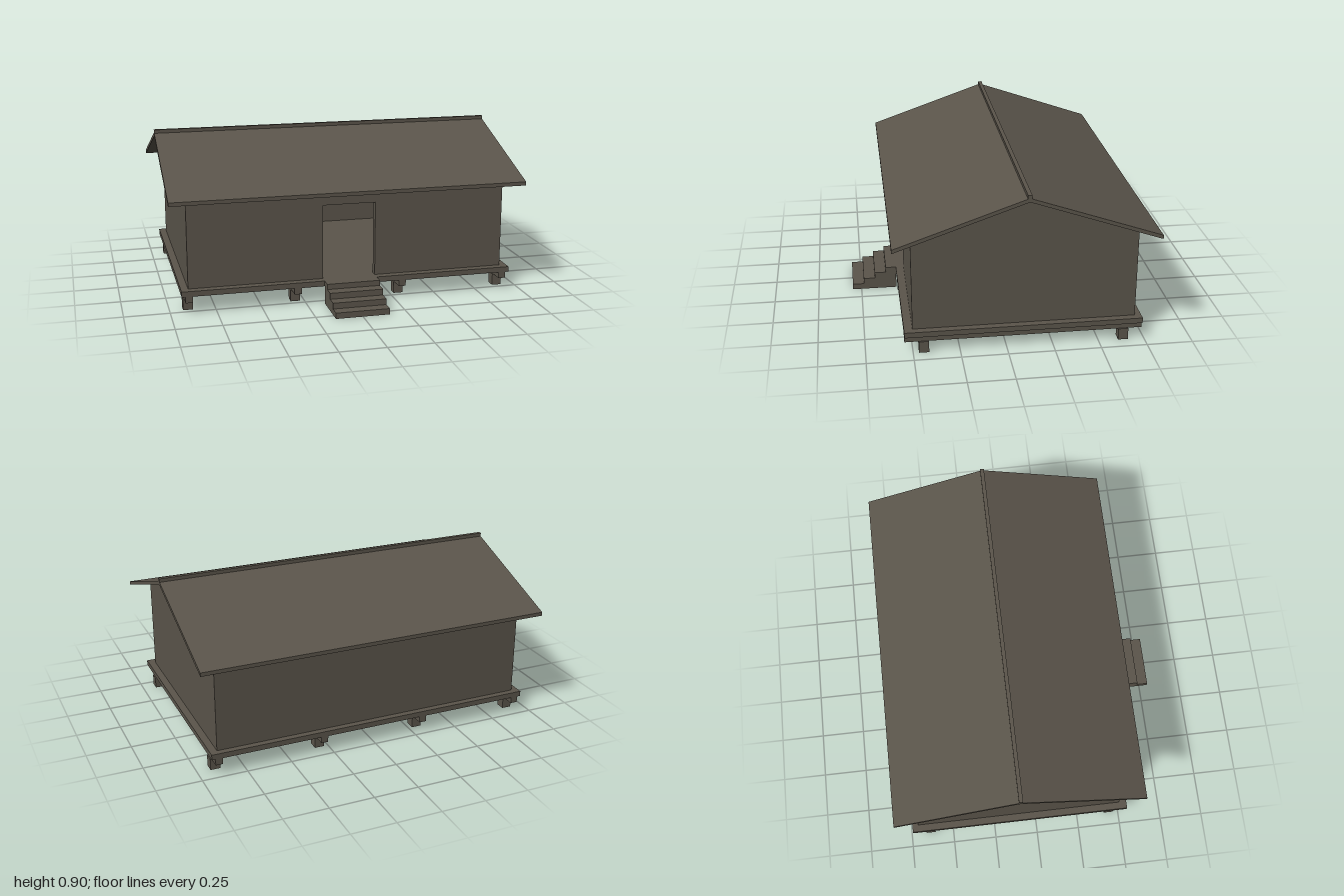
import * as THREE from 'three';

export function createModel() {
  const house = new THREE.Group();
  house.name = 'cabin';
  const wood = new THREE.MeshStandardMaterial({ color: 0x5b554b });
  wood.name = 'weathered wood';

  const add = (name, geometry) => {
    const mesh = new THREE.Mesh(geometry, wood);
    mesh.name = name;
    house.add(mesh);
    return mesh;
  };
  // Box given by its limits on each axis
  const box = (name, [x0, x1], [y0, y1], [z0, z1]) => {
    const g = new THREE.BoxGeometry(x1 - x0, y1 - y0, z1 - z0);
    return add(name, g.translate((x0 + x1) / 2, (y0 + y1) / 2, (z0 + z1) / 2));
  };
  // Side profile of [z, y] points, extruded along x
  const prism = (name, points, x0, x1) => {
    const shape = new THREE.Shape(points.map(([z, y]) => new THREE.Vector2(-z, y)));
    const g = new THREE.ExtrudeGeometry(shape, { depth: x1 - x0, bevelEnabled: false });
    return add(name, g.rotateY(Math.PI / 2).translate(x0, 0, 0));
  };

  const ridgeZ = -0.1, ridgeY = 0.863, eaveY = 0.62, reach = 0.7;
  const deckTop = 0.13, front = 0.5, back = -0.7, wall = 0.04;
  const under = z => ridgeY - (ridgeY - eaveY) * Math.abs(z - ridgeZ) / reach;

  // Piers, floor beams and deck
  for (const x of [-0.9, -0.3, 0.3, 0.9]) {
    box('floorBeam', [x - 0.02, x + 0.02], [0.065, 0.1], [-0.735, 0.545]);
    for (const z of [0.442, -0.635]) {
      box('pier', [x - 0.027, x + 0.027], [0, 0.065], [z - 0.027, z + 0.027]);
    }
  }
  box('deck', [-0.94, 0.94], [0.1, deckTop], [-0.735, 0.545]);

  // Solid front steps
  prism('steps', [
    [0.545, 0], [0.8, 0], [0.8, 0.033], [0.735, 0.033], [0.735, 0.066],
    [0.67, 0.066], [0.67, 0.1], [0.605, 0.1], [0.605, 0.13], [0.545, 0.13],
  ], -0.15, 0.15);

  // Gable walls
  const gable = [[front, deckTop], [front, under(front)], [ridgeZ, ridgeY],
    [back, under(back)], [back, deckTop]];
  prism('rightGableWall', gable, -0.9, -0.9 + wall);
  prism('leftGableWall', gable, 0.9 - wall, 0.9);

  // Front wall with doorway, and back wall
  const inner = 0.9 - wall, wallTop = under(front);
  const frontShape = new THREE.Shape([
    [-inner, deckTop], [-0.15, deckTop], [-0.15, 0.55], [0.15, 0.55],
    [0.15, deckTop], [inner, deckTop], [inner, wallTop], [-inner, wallTop],
  ].map(p => new THREE.Vector2(...p)));
  add('frontWall', new THREE.ExtrudeGeometry(frontShape, { depth: wall, bevelEnabled: false })
    .translate(0, 0, front - wall));
  box('backWall', [-inner, inner], [deckTop, wallTop], [back, back + wall]);

  // Posts carrying the ridge inside
  for (const x of [-0.47, 0.47]) {
    box('ridgePost', [x - 0.05, x + 0.05], [deckTop, under(-0.05)], [-0.15, -0.05]);
  }

  // Roof slopes and ridge cap
  const t = 0.021;
  for (const s of [1, -1]) {
    const eaveZ = ridgeZ + s * reach;
    prism(s > 0 ? 'frontRoof' : 'backRoof', [[ridgeZ, ridgeY], [eaveZ, eaveY],
      [eaveZ, eaveY + t], [ridgeZ, ridgeY + t]], -1, 1);
  }
  box('ridgeCap', [-1, 1], [0.875, 0.9], [ridgeZ - 0.011, ridgeZ + 0.011]);

  return house;
}
